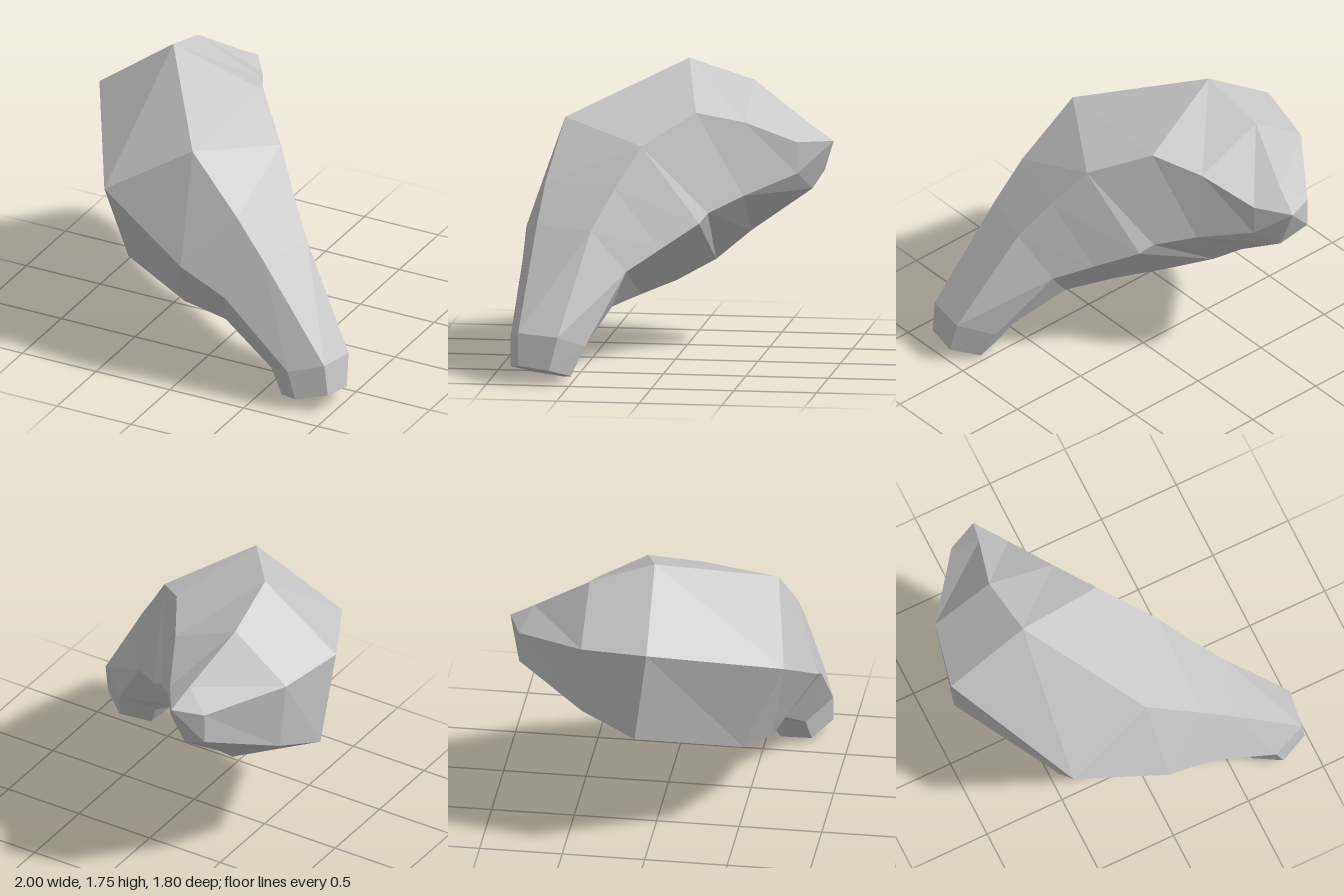
import * as THREE from 'three';

// Six-sided section: three corners, the other three mirrored through the centre
function section(centre, a, b, c, fourth) {
  const half = [a, b, c];
  const mirrored = half.map(p => p.map((v, i) => 2 * centre[i] - v));
  if (fourth) mirrored[0] = fourth;
  return [...half, ...mirrored];
}

export function createModel() {
  const group = new THREE.Group();
  group.name = 'facetedLimb';
  const grey = new THREE.MeshStandardMaterial({ color: 0xc8c8c8 });
  grey.name = 'light grey';

  // Sections from the closed rear point to the narrow foot
  const rearPoint = [-0.405, 1.29, -0.9];
  const rings = [
    section([-0.43, 1.19, -0.76], [-0.59, 1.27, -0.82], [-0.44, 1.385, -0.75], [-0.27, 1.3, -0.7]),
    section([-0.49, 1.177, -0.4], [-0.905, 1.355, -0.4], [-0.545, 1.625, -0.4], [-0.12, 1.44, -0.4]),
    section([-0.45, 1.155, -0.1], [-1, 1.39, 0.01], [-0.51, 1.755, -0.01], [0.04, 1.52, -0.13]),
    section([-0.11, 0.96, 0.345], [-0.56, 1.13, 0.78], [-0.02, 1.465, 0.67], [0.31, 1.355, 0.16], [0.18, 0.87, -0.17]),
    section([0.19, 0.77, 0.47], [0.02, 0.8, 0.9], [0.32, 1.13, 0.74], [0.47, 1.12, 0.3]),
    section([0.42, 0.64, 0.55], [0.31, 0.65, 0.88], [0.51, 0.9, 0.765], [0.63, 0.89, 0.42]),
    section([0.77, 0.24, 0.66], [0.74, 0.26, 0.89], [0.95, 0.315, 0.815], [0.985, 0.3, 0.57]),
    section([0.82, 0.064, 0.697], [0.79, 0.085, 0.885], [0.97, 0.12, 0.81], [1, 0.1, 0.62]),
  ];

  const corners = [];
  const tri = (a, b, c) => corners.push(...a, ...b, ...c);

  // Pointed rear cap
  for (let i = 0; i < 6; i++) tri(rearPoint, rings[0][i], rings[0][(i + 1) % 6]);

  // Side panels between neighbouring sections
  for (let k = 0; k < rings.length - 1; k++) {
    for (let i = 0; i < 6; i++) {
      const j = (i + 1) % 6;
      const p = rings[k], q = rings[k + 1];
      tri(p[i], q[i], p[j]);
      tri(p[j], q[i], q[j]);
    }
  }

  // Foot cap
  const foot = rings[rings.length - 1];
  for (const [a, b, c] of [[0, 5, 1], [1, 5, 4], [1, 4, 2], [2, 4, 3]]) tri(foot[a], foot[b], foot[c]);

  // Unshared corners give flat facets
  const geometry = new THREE.BufferGeometry();
  geometry.setAttribute('position', new THREE.Float32BufferAttribute(corners, 3));
  geometry.computeVertexNormals();
  const limb = new THREE.Mesh(geometry, grey);
  limb.name = 'limb';
  group.add(limb);
  return group;
}
